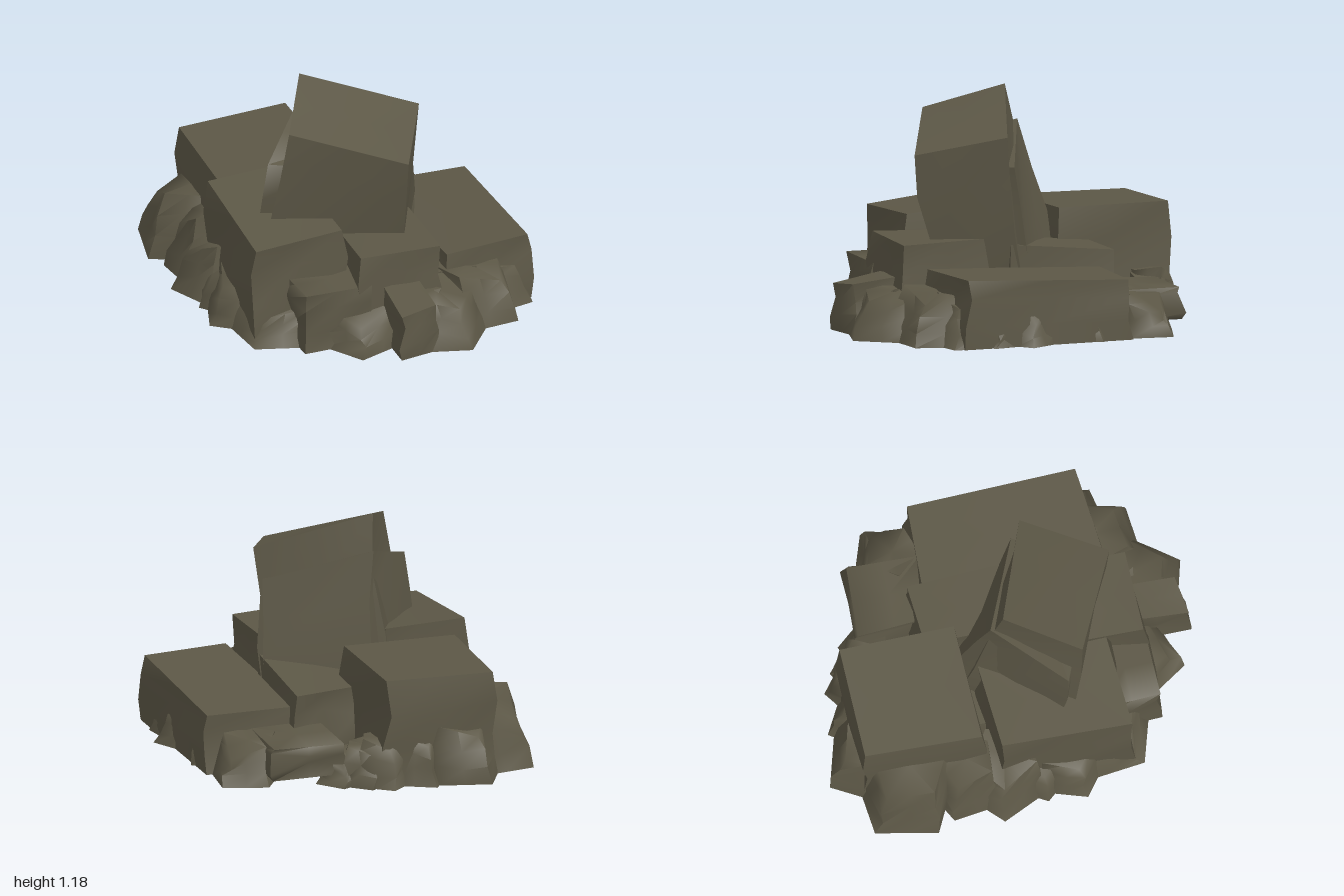
import * as THREE from 'three';
import { toCreasedNormals } from 'three/addons/utils/BufferGeometryUtils.js';

const stone = new THREE.MeshStandardMaterial({ color: 0x5c5746 });
stone.name = 'mossyStone';

// Small seeded noise for weathering, from -0.5 to 0.5
let seed = 7;
const rnd = () => {
  seed = (seed * 16807) % 2147483647;
  return seed / 2147483647 - 0.5;
};

const mean = (ring) => ring.reduce((s, p) => s.add(p), new THREE.Vector3()).divideScalar(ring.length);
const split = (ring) => ring.flatMap((p, i) => [p, p.clone().lerp(ring[(i + 1) % ring.length], 0.5)]);

// Rock lofted from a footprint to a crown, with weathered rings between them
function loft(name, foot, crown, rough) {
  const a = split(foot), b = split(crown), m = a.length;
  const between = (t) => a.map((p, i) => p.clone().lerp(b[i], t)
    .add(new THREE.Vector3(rnd(), rnd(), rnd()).multiplyScalar(rough)));
  const points = [a, between(0.35), between(0.7), b].flat();
  points.push(mean(foot), mean(crown));
  const top = m * 3, centre = m * 4, index = [];
  for (let i = 0; i < m; i++) {
    const j = (i + 1) % m;
    for (let p = 0; p < top; p += m) index.push(p + i, p + j, p + m + j, p + i, p + m + j, p + m + i);
    index.push(centre, j, i, centre + 1, top + i, top + j);
  }
  const geometry = new THREE.BufferGeometry().setFromPoints(points).setIndex(index);
  const mesh = new THREE.Mesh(toCreasedNormals(geometry, 1.25), stone);
  mesh.name = name;
  return mesh;
}

// Squared block between two x and two z limits; tilt is the drop from back to front
function block(name, x0, x1, z0, z1, height, tilt = 0, base = 0) {
  const foot = [[x0, z0], [x0, z1], [x1, z1], [x1, z0]]
    .map(([x, z]) => new THREE.Vector3(x + rnd() * 0.05, base, z + rnd() * 0.05));
  const c = mean(foot);
  const crown = foot.map((p, i) => p.clone().sub(c).multiplyScalar(0.95).add(c)
    .setY(height + rnd() * 0.03 - (i === 1 || i === 2 ? tilt : 0)));
  return loft(name, foot, crown, 0.05);
}

// Five-cornered boulder whose outer tip lies at x, z and whose crown leans inward
function boulder(name, x, z, radius, height) {
  const out = Math.atan2(z, x);
  const tip = new THREE.Vector3(x, 0, z);
  const inward = tip.clone().normalize().multiplyScalar(-radius);
  const c = tip.add(inward);
  const foot = Array.from({ length: 5 }, (_, i) => {
    const angle = out - (i / 5) * Math.PI * 2;
    const r = i ? radius * (0.95 + rnd() * 0.25) : radius;
    return new THREE.Vector3(c.x + Math.cos(angle) * r, 0, c.z + Math.sin(angle) * r);
  });
  const crown = foot.map((p) => p.clone().sub(c).multiplyScalar(0.75).add(c)
    .addScaledVector(inward, 0.15).setY(height + rnd() * 0.06));
  crown[0].y -= height * 0.25;
  return loft(name, foot, crown, 0.04);
}

// Leaning slab given by four foot corners [x, z] and four crown corners [x, y, z]
function leaner(name, foot, crown) {
  return loft(name, foot.map(([x, z]) => new THREE.Vector3(x, 0.2, z)),
    crown.map((p) => new THREE.Vector3(...p)), 0.05);
}

export function createModel() {
  const group = new THREE.Group();
  group.name = 'rockCluster';

  // Tall stone leaning forward, with a slab against its back
  group.add(
    leaner('leaningStone',
      [[-0.2, -0.26], [-0.54, 0.22], [0.12, 0.46], [0.33, 0.07]],
      [[-0.22, 1.18, -0.04], [-0.42, 1.05, 0.33], [0.13, 0.9, 0.59], [0.35, 1.0, 0.17]]),
    leaner('backingSlab',
      [[-0.12, -0.34], [-0.56, 0.15], [0.1, 0.44], [0.32, 0.02]],
      [[-0.2, 1.0, -0.1], [-0.5, 0.85, 0.24], [0.1, 0.8, 0.5], [0.32, 0.84, 0.12]]),
  );

  // Squared blocks and terraces around the tall stone
  group.add(
    block('rightShoulder', -0.71, -0.2, -0.18, 0.53, 0.61, 0.07),
    block('backBlock', -0.6, 0.02, -0.85, -0.22, 0.55),
    block('saddle', 0.0, 0.36, -0.43, 0.15, 0.38, -0.06),
    block('terrace', 0.3, 0.81, -0.36, 0.6, 0.3, -0.04),
    block('upperStep', -0.19, 0.26, 0.2, 0.7, 0.47),
    block('lowerStep', -0.5, -0.12, 0.4, 0.73, 0.31),
    block('frontSlab', -0.07, 0.14, 0.6, 0.95, 0.29, 0.04),
    block('terraceBackBlock', 0.2, 0.58, -0.69, -0.3, 0.22, 0, 0.05),
    block('core', -0.45, 0.5, -0.28, 0.62, 0.25),
  );

  // Boulders around the foot: tip x, tip z, radius, height
  const back = [
    [-0.5, -1.0, 0.25, 0.27], [-0.22, -0.95, 0.21, 0.28], [0.0, -0.92, 0.17, 0.25],
    [0.1, -0.87, 0.14, 0.2], [0.23, -0.8, 0.14, 0.14], [0.8, -0.56, 0.2, 0.2],
  ];
  const right = [
    [-0.79, -0.83, 0.27, 0.36], [-0.81, -0.42, 0.2, 0.33], [-0.87, -0.17, 0.23, 0.28],
    [-0.81, 0.07, 0.18, 0.24], [-0.83, 0.27, 0.22, 0.24], [-0.71, 0.59, 0.24, 0.18],
  ];
  const front = [
    [-0.24, 0.9, 0.23, 0.2], [0.32, 1.0, 0.26, 0.23], [0.14, 0.92, 0.18, 0.22],
    [0.65, 0.79, 0.26, 0.27],
  ];
  const left = [
    [0.79, 0.63, 0.24, 0.25], [0.87, 0.23, 0.18, 0.2], [0.82, 0.42, 0.18, 0.22],
    [0.82, -0.17, 0.18, 0.22],
  ];
  for (const [side, list] of Object.entries({ back, right, front, left })) {
    list.forEach((size, i) => group.add(boulder(`${side}Boulder${i + 1}`, ...size)));
  }
  return group;
}
